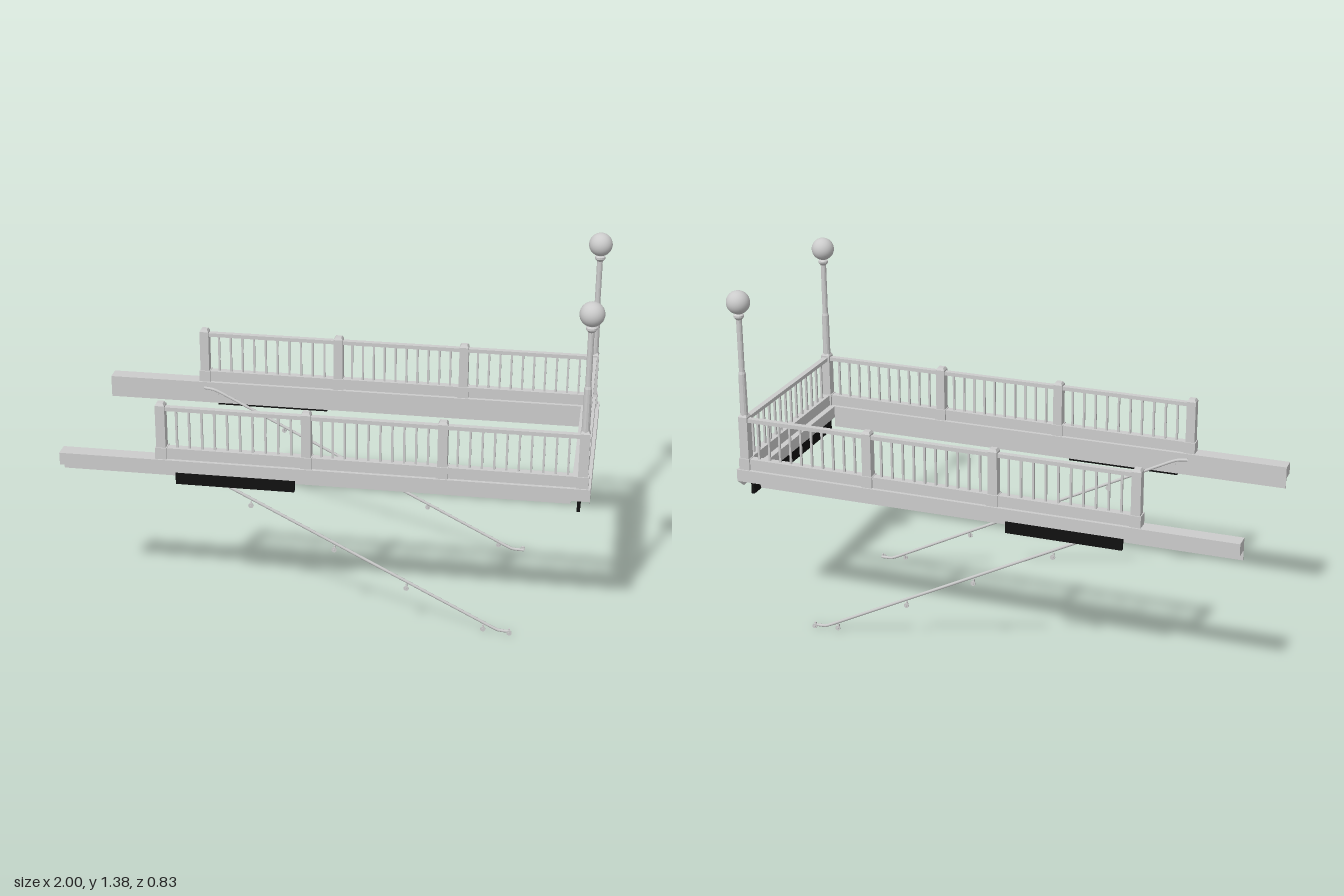
import * as THREE from 'three';

const grey = new THREE.MeshStandardMaterial({ color: 0xcccccc });
const greyFlat = new THREE.MeshStandardMaterial({ color: 0xcccccc, flatShading: true });
const greyThin = new THREE.MeshStandardMaterial({ color: 0xcccccc, side: THREE.DoubleSide });
const black = new THREE.MeshStandardMaterial({ color: 0x111111 });

function add(parent, name, geometry, material = grey) {
  const mesh = new THREE.Mesh(geometry, material);
  mesh.name = name;
  parent.add(mesh);
  return mesh;
}

// Box given by its limits on each axis
function box(parent, name, x0, x1, y0, y1, z0, z1, material) {
  const mesh = add(parent, name, new THREE.BoxGeometry(x1 - x0, y1 - y0, z1 - z0), material);
  mesh.position.set((x0 + x1) / 2, (y0 + y1) / 2, (z0 + z1) / 2);
  return mesh;
}

// Square railing post with a wider foot and a bevelled cap
function railingPost(parent, x, z) {
  const post = new THREE.Group();
  post.name = 'railingPost';
  post.position.set(x, 0, z);
  box(post, 'postFoot', -0.022, 0.022, 0.66, 0.71, -0.023, 0.023);
  box(post, 'postShaft', -0.018, 0.018, 0.71, 0.878, -0.018, 0.018);
  const cap = add(post, 'postCap', new THREE.CylinderGeometry(0.012 * Math.SQRT2, 0.018 * Math.SQRT2, 0.01, 4), greyFlat);
  cap.rotation.y = Math.PI / 4;
  cap.position.y = 0.883;
  parent.add(post);
}

// Tapered lamp column with collar and globe
function lamp(parent, x, z) {
  const group = new THREE.Group();
  group.name = 'lamp';
  group.position.set(x, 0, z);
  const profile = [[0.015, 0.88], [0.014, 1.05], [0.011, 1.06], [0.011, 1.265],
    [0.02, 1.275], [0.02, 1.283], [0.013, 1.288], [0.013, 1.295]];
  add(group, 'lampColumn', new THREE.LatheGeometry(profile.map(p => new THREE.Vector2(...p)), 12), greyFlat);
  add(group, 'lampGlobe', new THREE.SphereGeometry(0.045, 28, 18)).position.y = 1.332;
  parent.add(group);
}

// Thin bars evenly spaced between two points
function balusters(parent, from, to, count) {
  for (let i = 1; i <= count; i++) {
    const p = from.clone().lerp(to, i / (count + 1));
    box(parent, 'baluster', p.x - 0.004, p.x + 0.004, 0.705, 0.86, p.z - 0.004, p.z + 0.004);
  }
}

// Sloping stair handrail with level ends and wall brackets
function handrail(parent, side) {
  const group = new THREE.Group();
  group.name = 'stairHandrail';
  const path = new THREE.CurvePath();
  const pts = [[-0.61, 0.645], [-0.57, 0.64], [-0.54, 0.627], [0.64, 0.024], [0.665, 0.013], [0.71, 0.012]]
    .map(([x, y]) => new THREE.Vector3(x, y, side * 0.33));
  for (let i = 1; i < pts.length; i++) path.add(new THREE.LineCurve3(pts[i - 1], pts[i]));
  add(group, 'handrailTube', new THREE.TubeGeometry(path, 90, 0.006, 8), greyThin);
  for (const [x, y] of [[-0.555, 0.618], [-0.283, 0.472], [0.034, 0.311], [0.31, 0.17], [0.605, 0.02], [0.705, 0.012]]) {
    const arm = add(group, 'bracketArm', new THREE.CylinderGeometry(0.004, 0.004, 0.02, 8));
    arm.rotation.x = Math.PI / 2;
    arm.position.set(x, y, side * 0.339);
    const plate = add(group, 'bracketPlate', new THREE.CylinderGeometry(0.01, 0.01, 0.004, 12));
    plate.rotation.x = Math.PI / 2;
    plate.position.set(x, y, side * 0.342);
    box(group, 'bracketStem', x - 0.003, x + 0.003, y, y + 0.014, side * 0.333 - 0.003, side * 0.333 + 0.003);
  }
  parent.add(group);
}

export function createModel() {
  const model = new THREE.Group();
  model.name = 'balcony';
  const postXs = [-0.61, -0.063, 0.44, 0.95];
  const zRail = 0.37;

  for (const side of [1, -1]) {
    const wing = new THREE.Group();
    wing.name = side > 0 ? 'frontWing' : 'backWing';
    model.add(wing);
    const span = (name, x0, x1, y0, y1, z0, z1, material) =>
      box(wing, name, x0, x1, y0, y1, Math.min(side * z0, side * z1), Math.max(side * z0, side * z1), material);

    // L-shaped side beam
    span('sideBeam', -1, 0.91, 0.617, 0.665, 0.34, 0.4);
    span('sideBeamInnerLip', -1, 0.91, 0.577, 0.617, 0.34, 0.344);
    span('hangingPlate', -0.56, -0.11, 0.56, 0.617, 0.363, 0.38, black);

    // Railing bays
    span('sideCurb', -0.61, 0.95, 0.665, 0.708, 0.355, 0.386);
    span('sideTopRail', -0.61, 0.95, 0.857, 0.872, 0.359, 0.381);
    postXs.forEach((x, i) => {
      railingPost(wing, x, side * zRail);
      if (i > 0) {
        balusters(wing, new THREE.Vector3(postXs[i - 1] + 0.01, 0, side * zRail),
          new THREE.Vector3(x - 0.01, 0, side * zRail), 10);
      }
    });
    lamp(wing, 0.95, side * zRail);
    handrail(model, side);
  }

  // End beam with a fascia whose lower corners are cut off
  const end = new THREE.Group();
  end.name = 'endRailing';
  model.add(end);
  box(end, 'endBeam', 0.91, 0.98, 0.617, 0.665, -0.4, 0.4);
  const fascia = new THREE.Shape([[-0.4, 0.617], [-0.352, 0.58], [0.352, 0.58], [0.4, 0.617]]
    .map(p => new THREE.Vector2(...p)));
  const panel = add(end, 'endFascia', new THREE.ShapeGeometry(fascia), greyThin);
  panel.rotation.y = Math.PI / 2;
  panel.position.x = 0.979;
  box(end, 'endHangingPlate', 0.933, 0.945, 0.552, 0.617, -0.355, 0.355, black);

  // End railing
  box(end, 'endCurb', 0.934, 0.966, 0.665, 0.708, -0.37, 0.37);
  box(end, 'endTopRail', 0.939, 0.961, 0.857, 0.872, -0.37, 0.37);
  balusters(end, new THREE.Vector3(0.95, 0, -0.355), new THREE.Vector3(0.95, 0, 0.355), 14);

  return model;
}
